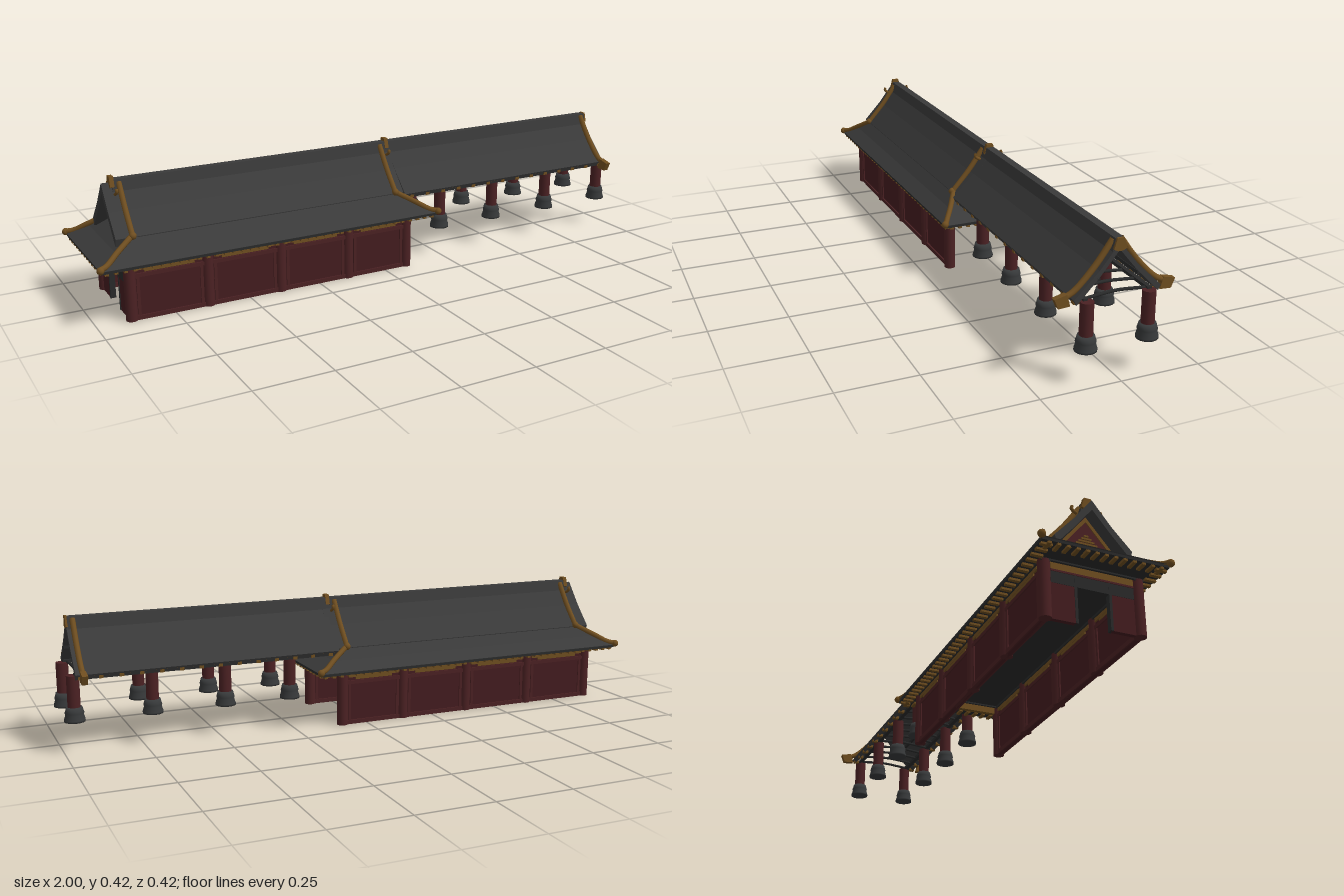
import * as THREE from 'three';
import { mergeGeometries } from 'three/addons/utils/BufferGeometryUtils.js';

const mat = (name, color, side = THREE.FrontSide) => {
  const m = new THREE.MeshStandardMaterial({ color, side });
  m.name = name;
  return m;
};

export function createModel() {
  const tile = mat('roof tile grey', 0x3a3a3a, THREE.DoubleSide);
  const wood = mat('dark timber', 0x292a2a, THREE.DoubleSide);
  const red = mat('dark red lacquer', 0x4b2123);
  const deepRed = mat('deep red panel', 0x431c1f);
  const gold = mat('old gold', 0x6f4e20, THREE.DoubleSide);
  const stone = mat('grey stone', 0x37393a, THREE.DoubleSide);

  const model = new THREE.Group();
  const ENDS = [-1, 1];
  const MID = -0.4025; // middle of the hall along x

  // Merge several geometries into one named mesh
  const add = (name, material, ...geos) => {
    const flat = geos.map((g) => (g.index ? g.toNonIndexed() : g));
    const mesh = new THREE.Mesh(mergeGeometries(flat), material);
    mesh.name = name;
    model.add(mesh);
    return mesh;
  };
  const box = (w, h, d, x, y, z) => new THREE.BoxGeometry(w, h, d).translate(x, y, z);
  const ball = (r, x, y, z) => new THREE.SphereGeometry(r, 10, 8).translate(x, y, z);
  const tube = (pts, r, seg = 14) => new THREE.TubeGeometry(
    new THREE.CatmullRomCurve3(pts.map((p) => new THREE.Vector3(...p))), seg, r, 8);

  // Outline in (z, y) extruded along x
  const prism = (pts, x0, x1, hole) => {
    const shape = new THREE.Shape(pts.map((p) => new THREE.Vector2(...p)));
    if (hole) shape.holes.push(new THREE.Path(hole.map((p) => new THREE.Vector2(...p))));
    return new THREE.ExtrudeGeometry(shape, { depth: x1 - x0, bevelEnabled: false })
      .rotateY(Math.PI / 2).translate(x0, 0, 0);
  };
  // Sheet between successive rows, each row being [start, end]
  const sheet = (rows) => {
    const v = [];
    for (let i = 0; i < rows.length - 1; i++) {
      const [a, b] = rows[i], [c, d] = rows[i + 1];
      v.push(...a, ...b, ...d, ...a, ...d, ...c);
    }
    const g = new THREE.BufferGeometry();
    g.setAttribute('position', new THREE.Float32BufferAttribute(v, 3));
    g.setAttribute('uv', new THREE.Float32BufferAttribute(new Array(v.length / 3 * 2).fill(0), 2));
    g.computeVertexNormals();
    return g;
  };
  // Sloping roof band: half profile (z, y) thickened downwards and mirrored
  const chevron = (half, t) => [
    ...half, ...half.slice(0, -1).reverse().map(([z, y]) => [-z, y]),
    ...half.slice(0, -1).map(([z, y]) => [-z * 0.94, y - t]), [0, half.at(-1)[1] - t * 1.3],
    ...half.slice(0, -1).reverse().map(([z, y]) => [z * 0.94, y - t]),
  ];

  // --- Hall walls ---
  const posts = [-0.888, -0.637, -0.387, -0.14, 0.085];
  const cols = [], panels = [], rails = [], friezes = [], beams = [];
  for (const s of ENDS) {
    for (const x of posts) {
      cols.push(new THREE.CylinderGeometry(0.0185, 0.0185, 0.18, 16).translate(x, 0.09, s * 0.147));
    }
    for (let i = 0; i < 4; i++) {
      const w = posts[i + 1] - posts[i], x = posts[i] + w / 2;
      panels.push(box(w, 0.18, 0.012, x, 0.09, s * 0.147));
      rails.push(box(w, 0.014, 0.022, x, 0.007, s * 0.147), box(w, 0.012, 0.022, x, 0.145, s * 0.147));
      for (const e of ENDS) rails.push(box(0.01, 0.14, 0.02, x + e * (w / 2 - 0.023), 0.075, s * 0.147));
      friezes.push(box(w - 0.04, 0.012, 0.022, x, 0.168, s * 0.147), box(w - 0.09, 0.008, 0.02, x, 0.158, s * 0.147));
    }
    beams.push(box(1.0, 0.01, 0.03, MID, 0.179, s * 0.147));
    // End wall beside the doorway
    panels.push(box(0.014, 0.15, 0.08, -0.888, 0.075, s * 0.092));
    beams.push(box(0.018, 0.15, 0.008, -0.888, 0.075, s * 0.054));
  }
  beams.push(box(0.016, 0.037, 0.26, -0.888, 0.1315, 0));
  rails.push(box(0.02, 0.006, 0.26, -0.888, 0.152, 0));
  for (const x of [-0.888, 0.085]) {
    friezes.push(box(0.016, 0.024, 0.26, x, 0.167, 0));
    beams.push(box(0.03, 0.01, 0.3, x, 0.182, 0));
  }
  add('hallColumns', red, ...cols);
  add('wallPanels', deepRed, ...panels);
  add('wallRails', red, ...rails);
  add('friezes', gold, ...friezes);
  add('wallBeams', wood, ...beams);

  // --- Hall roof: skirt, upper gabled part, soffit ---
  const skirt = [[0.585, 0.192, 0.2], [0.52, 0.222, 0.155], [0.4675, 0.257, 0.12]]; // half x, y, half z
  const slopes = [];
  for (const s of ENDS) {
    slopes.push(sheet(skirt.map(([x, y, z]) => [[MID - s * x, y, s * z], [MID + s * x, y, s * z]])));
    slopes.push(sheet(skirt.map(([x, y, z]) => [[MID + s * x, y, s * z], [MID + s * x, y, -s * z]])));
  }
  add('hallRoofSkirt', tile, ...slopes);
  const upper = chevron([[0.123, 0.257], [0.06, 0.325], [0, 0.402]], 0.025);
  add('hallUpperRoof', tile, prism(upper, -0.915, 0.105));
  add('eavesSoffit', wood, box(1.165, 0.008, 0.394, MID, 0.186, 0));

  // Rafter tips under the hall eaves
  const tips = [];
  for (const s of ENDS) {
    for (let i = 0; i < 40; i++) tips.push(box(0.011, 0.008, 0.035, -0.968 + i * 0.029, 0.179, s * 0.178));
    for (let i = 0; i < 13; i++) tips.push(box(0.035, 0.008, 0.011, MID + s * 0.564, 0.179, -0.174 + i * 0.029));
  }
  add('eavesRafterTips', gold, ...tips);

  // Gables with a stepped gold ornament and trim
  const gables = [], ornament = [];
  const tri = (h, b, t) => [[-h, b], [h, b], [0, t]];
  for (const s of ENDS) {
    const x = MID + s * 0.465;
    gables.push(prism(tri(0.112, 0.247, 0.375), x - 0.004, x + 0.004));
    ornament.push(prism(tri(0.098, 0.25, 0.368), x - 0.007, x + 0.007, tri(0.076, 0.26, 0.352)));
    [0.042, 0.034, 0.026, 0.016, 0.007].forEach((h, i) =>
      ornament.push(box(0.014, 0.006, h * 2, x, 0.268 + i * 0.009, 0)));
  }
  add('gables', red, ...gables);
  add('gableOrnaments', gold, ...ornament);

  // --- Covered walkway ---
  const walk = chevron([[0.135, 0.252], [0.06, 0.326], [0, 0.4]], 0.016);
  add('walkwayRoof', tile, prism(walk, 0.09, 0.96));
  add('mainRidge', tile, prism([[-0.021, 0.374], [0.021, 0.374], [0.013, 0.412], [-0.013, 0.412]], -0.885, 0.957));

  const arches = [], nubs = [], purlins = [];
  for (let i = 0; i < 14; i++) {
    const x = 0.12 + i * 0.0635;
    arches.push(tube([[x, 0.242, -0.125], [x, 0.249, -0.06], [x, 0.253, 0], [x, 0.249, 0.06], [x, 0.242, 0.125]], 0.005));
    for (const s of ENDS) nubs.push(box(0.014, 0.01, 0.02, x, 0.241, s * 0.122));
  }
  for (const s of ENDS) {
    nubs.push(box(0.85, 0.006, 0.008, 0.53, 0.249, s * 0.128));
    purlins.push(box(0.87, 0.01, 0.014, 0.525, 0.247, s * 0.1), box(0.87, 0.01, 0.01, 0.525, 0.302, s * 0.062));
  }
  add('walkwayArches', wood, ...arches, ...purlins);
  add('walkwayEavesTrim', gold, ...nubs);

  // Posts hanging to moulded stone bases
  const baseProfile = [[0, 0.1], [0.033, 0.1], [0.033, 0.106], [0.028, 0.122], [0.03, 0.128],
    [0.028, 0.134], [0.025, 0.146], [0, 0.146]].map((p) => new THREE.Vector2(...p));
  const walkPosts = [], bases = [];
  for (const x of [0.255, 0.478, 0.718, 0.963]) {
    for (const s of ENDS) {
      walkPosts.push(new THREE.CylinderGeometry(0.02, 0.02, 0.103, 16).translate(x, 0.194, s * 0.097));
      bases.push(new THREE.LatheGeometry(baseProfile, 16).translate(x, 0, s * 0.097));
    }
  }
  add('walkwayPosts', red, ...walkPosts);
  add('postBases', stone, ...bases);

  // --- Gold ridges running down the slopes and hips ---
  const ridges = [];
  for (const s of ENDS) {
    for (const e of ENDS) {
      const x = MID + e * 0.46;
      ridges.push(tube([[x, 0.402, s * 0.012], [x, 0.33, s * 0.064], [x, 0.262, s * 0.123]], 0.009));
      ridges.push(ball(0.012, x, 0.262, s * 0.125));
      ridges.push(tube([[x, 0.262, s * 0.12], [MID + e * 0.52, 0.228, s * 0.156],
        [MID + e * 0.565, 0.202, s * 0.187], [MID + e * 0.59, 0.199, s * 0.2]], 0.009));
      ridges.push(ball(0.012, MID + e * 0.585, 0.197, s * 0.2));
      // Curled finial beside the ridge
      const f = MID + e * 0.478;
      ridges.push(tube([[f, 0.37, s * 0.03], [f, 0.376, s * 0.042], [f, 0.384, s * 0.048], [f, 0.391, s * 0.045]], 0.005, 8));
    }
    ridges.push(tube([[0.94, 0.405, s * 0.012], [0.94, 0.334, s * 0.064], [0.94, 0.268, s * 0.13], [0.94, 0.25, s * 0.175]], 0.009));
    ridges.push(prism([[0.14, 0.232], [0.176, 0.23], [0.188, 0.259], [0.15, 0.268]].map(([z, y]) => [s * z, y]), 0.931, 0.949));
  }
  add('slopeRidges', gold, ...ridges);

  // Gold caps on the main ridge
  const cap = [[-0.02, 0.39], [-0.008, 0.384], [0.008, 0.384], [0.02, 0.39], [0.011, 0.422], [-0.011, 0.422]];
  const endCap = cap.map(([z, y]) => [z, y - 0.008]);
  add('ridgeCaps', gold, prism(cap, -0.892, -0.878), prism(cap, 0.076, 0.09), prism(endCap, 0.956, 0.963));

  return model;
}
